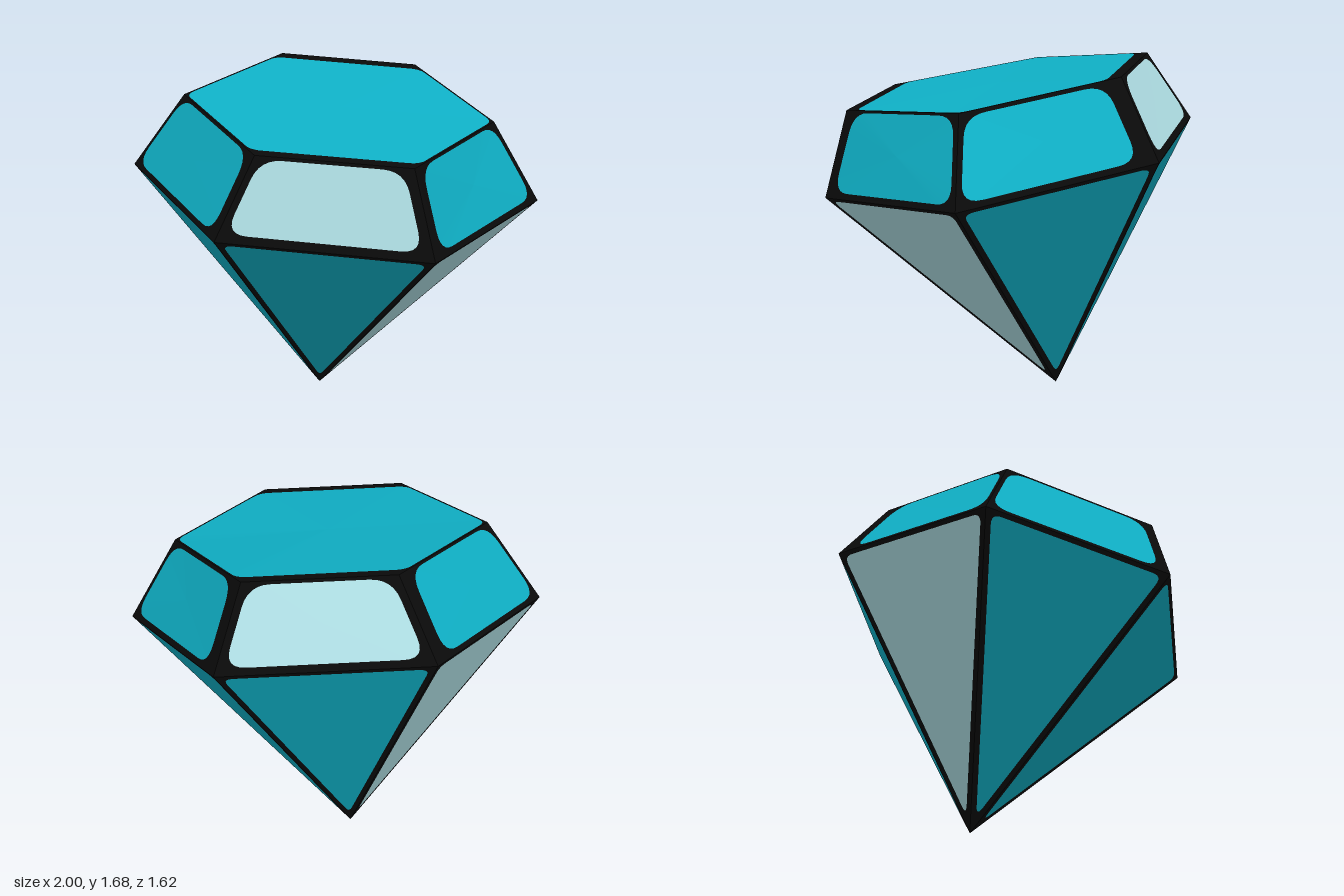
import * as THREE from 'three';

const V = (x, y, z) => new THREE.Vector3(x, y, z);

// Rings run left, front left, front right, right, back right, back left
const girdle = [
  V(-1, 1.24, 0), V(-0.5, 1.105, 0.81), V(0.49, 1.022, 0.81),
  V(1, 1.083, 0), V(0.5, 1.26, -0.81), V(-0.49, 1.343, -0.81),
];
const crown = [
  V(-0.73, 1.61, 0.06), V(-0.32, 1.488, 0.73), V(0.39, 1.437, 0.73),
  V(0.77, 1.49, 0.05), V(0.385, 1.632, -0.61), V(-0.31, 1.685, -0.61),
];
const apex = V(-0.095, 0, -0.2);

// Flat-shaded geometry from a list of triangle corners
function facetGeometry(points) {
  const geometry = new THREE.BufferGeometry().setFromPoints(points);
  geometry.computeVertexNormals();
  return geometry;
}

// Rounded panel outline: insets[i] is the margin along edge i to i + 1
function panelOutline(corners, insets, radius) {
  const n = corners.length;
  const inner = corners.map((c, i) => {
    const prev = corners[(i + n - 1) % n].clone().sub(c).normalize();
    const next = corners[(i + 1) % n].clone().sub(c).normalize();
    const sin = prev.clone().cross(next).length();
    return c.clone()
      .addScaledVector(prev, insets[i] / sin)
      .addScaledVector(next, insets[(i + n - 1) % n] / sin);
  });
  return inner.map((p, i) => {
    const toward = (q) => p.clone().addScaledVector(
      q.clone().sub(p).normalize(), Math.min(radius, p.distanceTo(q) * 0.45));
    const start = toward(inner[(i + n - 1) % n]);
    const end = toward(inner[(i + 1) % n]);
    return new THREE.QuadraticBezierCurve3(start, p, end).getPoints(6);
  });
}

// One facet: a coloured rounded panel surrounded by a flush dark frame
function addFacet(group, name, corners, insets, radius, panelMaterial, frameMaterial) {
  const arcs = panelOutline(corners, insets, radius);
  const outline = arcs.flat();
  const centre = outline.reduce((s, p) => s.add(p), V(0, 0, 0)).divideScalar(outline.length);
  const panel = [], frame = [];
  outline.forEach((p, i) => panel.push(centre, p, outline[(i + 1) % outline.length]));
  arcs.forEach((arc, i) => {
    const j = (i + 1) % corners.length;
    for (let k = 0; k < arc.length - 1; k++) frame.push(corners[i], arc[k + 1], arc[k]);
    const last = arc[arc.length - 1], first = arcs[j][0];
    frame.push(corners[i], corners[j], first, corners[i], first, last);
  });
  const facet = new THREE.Group();
  facet.name = name;
  const panelMesh = new THREE.Mesh(facetGeometry(panel), panelMaterial);
  panelMesh.name = name + 'Panel';
  const frameMesh = new THREE.Mesh(facetGeometry(frame), frameMaterial);
  frameMesh.name = name + 'Frame';
  facet.add(panelMesh, frameMesh);
  group.add(facet);
}

export function createModel() {
  const material = (name, color) => {
    const m = new THREE.MeshStandardMaterial({ color });
    m.name = name;
    return m;
  };
  const teal = material('teal', 0x0fb0c6);
  const pale = material('paleBlue', 0xb0e0e6);
  const black = material('black', 0x0a0a0a);

  const gem = new THREE.Group();
  gem.name = 'gem';

  const sides = ['LeftFront', 'Front', 'RightFront', 'RightBack', 'Back', 'LeftBack'];
  // Margins of each crown panel: bottom, far side, top, near side
  const crownInsets = [
    [0.025, 0.055, 0.015, 0.02], [0.04, 0.045, 0.015, 0.03], [0.03, 0.03, 0.012, 0.06],
    [0.03, 0.085, 0.02, 0.025], [0.035, 0.035, 0.015, 0.035], [0.025, 0.02, 0.012, 0.085],
  ];

  sides.forEach((side, i) => {
    const j = (i + 1) % 6;
    // Short sloping facets around the table
    addFacet(gem, 'crown' + side, [girdle[i], girdle[j], crown[j], crown[i]],
      crownInsets[i], 0.1, i % 3 === 1 ? pale : teal, black);
    // Long facets meeting at the bottom point
    addFacet(gem, 'pavilion' + side, [girdle[j], girdle[i], apex],
      [0.022, 0.027, 0.027], 0.05, i % 3 === 2 ? pale : teal, black);
  });

  // Tilted top face
  addFacet(gem, 'table', crown, [0.01, 0.06, 0.01, 0.01, 0.065, 0.01], 0.05, teal, black);

  return gem;
}
